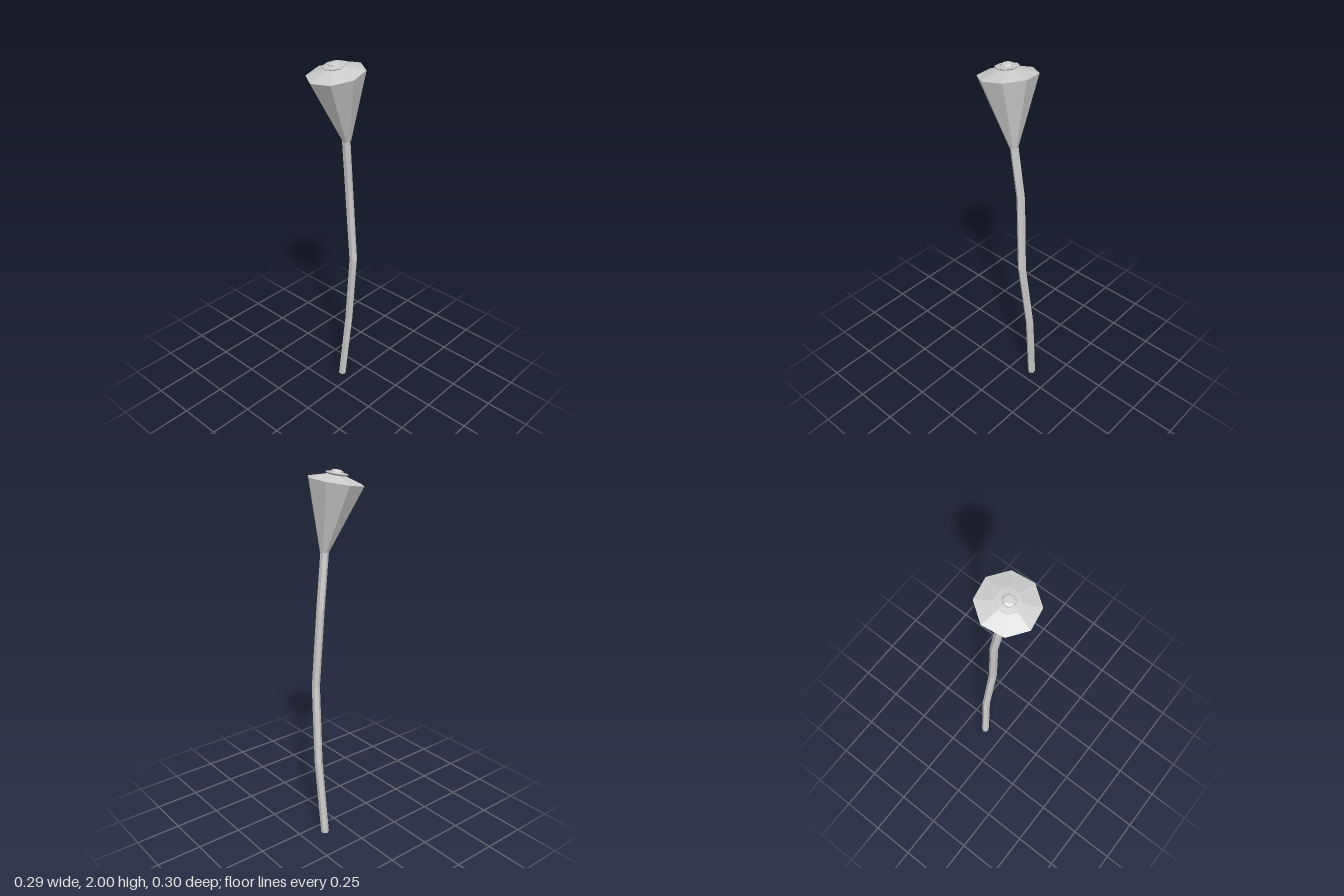
import * as THREE from 'three';

export function createModel() {
  const group = new THREE.Group();
  const material = new THREE.MeshStandardMaterial({ color: 0xcccccc, flatShading: true, side: THREE.DoubleSide });

  // Bent stem: a six-sided column whose rings are shifted onto a path
  const path = [
    [-0.069, 0, -0.12], [-0.028, 0.44, -0.13], [0.02, 0.87, -0.107],
    [0.007, 1.3, -0.082], [0.018, 1.6, -0.044],
  ];
  const stemGeometry = new THREE.CylinderGeometry(0.022, 0.022, 4, 6, 4, false, Math.PI / 2);
  const p = stemGeometry.attributes.position;
  for (let i = 0; i < p.count; i++) {
    const [x, y, z] = path[Math.round(p.getY(i) + 2)];
    p.setXYZ(i, p.getX(i) + x, y, p.getZ(i) + z);
  }
  stemGeometry.computeVertexNormals();
  const stem = new THREE.Mesh(stemGeometry, material);
  stem.name = 'stem';
  group.add(stem);

  // Tilted head, with its origin at the centre of the rim
  const head = new THREE.Group();
  head.name = 'head';
  head.position.set(0, 1.942, 0.012);
  head.quaternion.setFromUnitVectors(
    new THREE.Vector3(0, 1, 0), new THREE.Vector3(-0.06, 1, 0.165).normalize());
  group.add(head);

  // Each head part is an eight-sided turned profile of [radius, height]
  const addTurned = (name, profile) => {
    const points = profile.map(([r, y]) => new THREE.Vector2(r, y));
    const mesh = new THREE.Mesh(new THREE.LatheGeometry(points, 8, -0.21), material);
    mesh.name = name;
    head.add(mesh);
  };
  addTurned('pod', [[0, -0.357], [0.022, -0.357], [0.147, 0], [0.045, 0.03], [0, 0.03]]);
  addTurned('crownDisc', [[0.045, 0.028], [0.059, 0.036], [0.059, 0.04], [0.03, 0.043]]);
  addTurned('crownTip', [[0.033, 0.042], [0.03, 0.05], [0.018, 0.055], [0, 0.055]]);

  return group;
}
